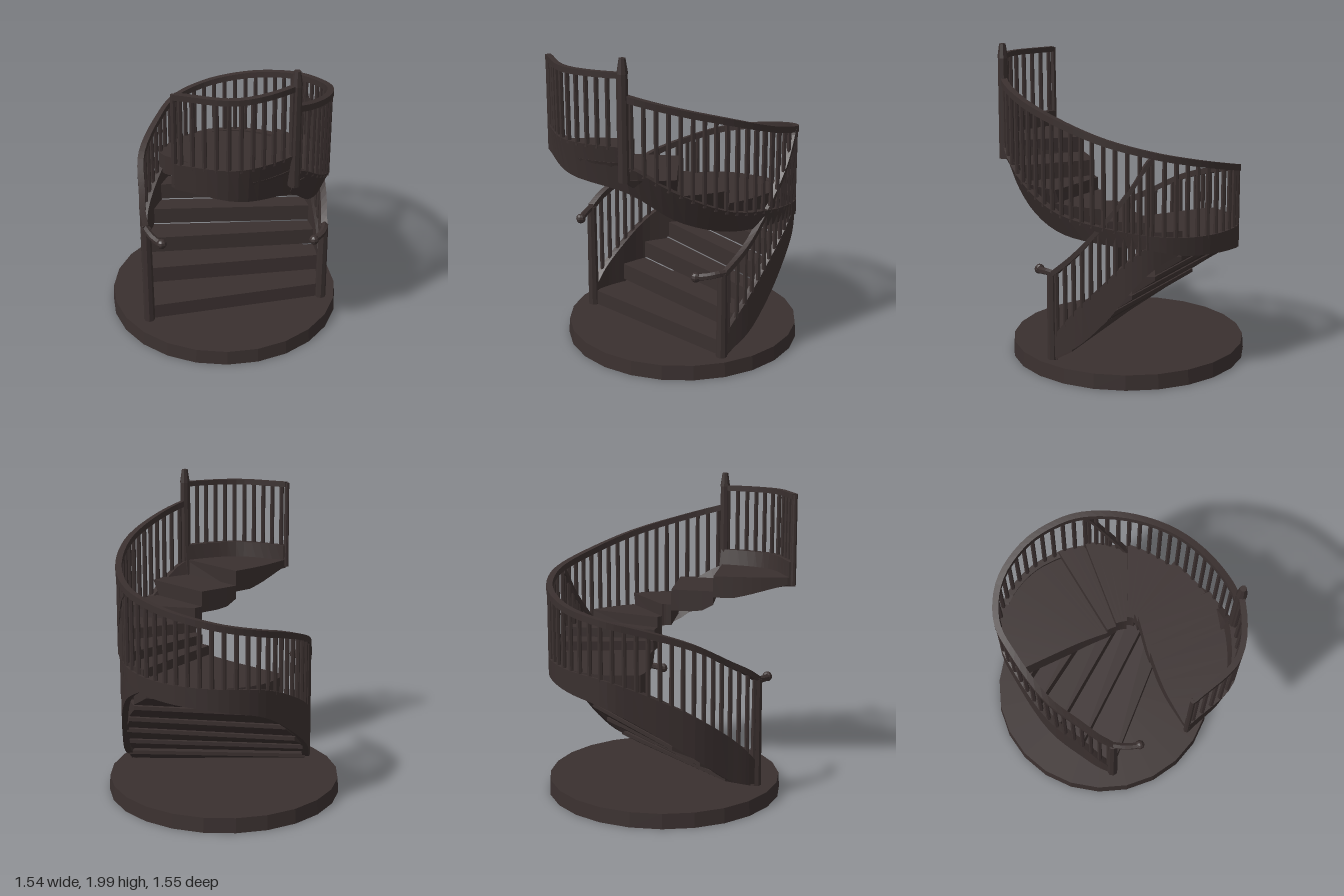
import * as THREE from 'three';

const wood = new THREE.MeshStandardMaterial({ color: 0x3a302f, flatShading: true });
wood.name = 'dark wood';

// Skin through four-cornered sections (left top, right top, right bottom, left bottom)
function ribbon(sections) {
  const pos = sections.flat(2), idx = [];
  for (let s = 0; s < sections.length - 1; s++) {
    for (let j = 0; j < 4; j++) {
      const a = s * 4 + j, b = s * 4 + (j + 1) % 4;
      idx.push(a, b, b + 4, a, b + 4, a + 4);
    }
  }
  const e = (sections.length - 1) * 4;
  idx.push(0, 3, 2, 0, 2, 1, e, e + 1, e + 2, e, e + 2, e + 3);
  const g = new THREE.BufferGeometry();
  g.setAttribute('position', new THREE.Float32BufferAttribute(pos, 3));
  g.setIndex(idx);
  g.computeVertexNormals();
  return g;
}

const spline = pts => new THREE.CatmullRomCurve3(pts.map(p => new THREE.Vector3(...p)));

// Side of the stair: each row is x, z, stringer bottom, stringer top, handrail height
// and how far the stringer bottom leans inward
function makeSide(rows) {
  return {
    bottom: spline(rows.map(([x, z, y, , , lean = 0]) => {
      const k = 1 - lean / Math.hypot(x, z);
      return [x * k, y, z * k];
    })),
    top: spline(rows.map(r => [r[0], r[3], r[1]])),
    rail: spline(rows.map(r => [r[0], r[4], r[1]])),
  };
}

// Band that follows the rim between a low and a high point, widened outward and inward
function band(t0, t1, count, out, inn, at) {
  const sections = [];
  const shift = (p, d) => {
    const k = 1 + d / Math.hypot(p.x, p.z);
    return [p.x * k, p.y, p.z * k];
  };
  for (let i = 0; i <= count; i++) {
    const [lo, hi] = at(t0 + (t1 - t0) * i / count);
    sections.push([shift(hi, out), shift(hi, -inn), shift(lo, -inn), shift(lo, out)]);
  }
  return ribbon(sections);
}

export function createModel() {
  const model = new THREE.Group();
  const add = (name, geo, x = 0, y = 0, z = 0, parent = model) => {
    const m = new THREE.Mesh(geo, wood);
    m.name = name;
    m.position.set(x, y, z);
    parent.add(m);
    return m;
  };

  // Round plinth
  add('base', new THREE.CylinderGeometry(0.75, 0.757, 0.095, 24), 0.012, 0.055, -0.025);

  // Long side winding from the left newel round the back to the upper platform
  const main = makeSide([
    [-0.62, -0.10, 0.11, 0.24, 0.80], [-0.57, -0.18, 0.13, 0.34, 0.86],
    [-0.48, -0.28, 0.18, 0.46, 0.93], [-0.31, -0.46, 0.36, 0.63, 1.06],
    [-0.01, -0.61, 0.59, 0.80, 1.17], [0.20, -0.67, 0.71, 0.88, 1.225],
    [0.45, -0.60, 0.77, 0.91, 1.28], [0.64, -0.40, 0.80, 0.92, 1.34],
    [0.715, -0.18, 0.82, 0.93, 1.39], [0.715, 0.00, 0.86, 0.95, 1.43],
    [0.61, 0.27, 0.88, 0.99, 1.50, 0.03], [0.39, 0.52, 0.905, 1.05, 1.60, 0.06],
    [0.10, 0.68, 1.00, 1.20, 1.69, 0.08], [-0.19, 0.735, 1.18, 1.37, 1.77, 0.06],
    [-0.56, 0.63, 1.26, 1.42, 1.86, 0.03], [-0.755, 0.32, 1.32, 1.46, 1.91],
  ]);
  // Short right side of the lower flight, listed from the top down
  const right = makeSide([
    [0.715, -0.18, 0.84, 0.93, 1.42], [0.715, 0.00, 0.74, 0.90, 1.41],
    [0.68, 0.12, 0.61, 0.81, 1.23], [0.60, 0.26, 0.40, 0.65, 1.02],
    [0.49, 0.42, 0.21, 0.45, 0.80], [0.365, 0.54, 0.11, 0.24, 0.65],
  ]);
  const tNewel = 13 / 15, platformTop = 1.48, platformRail = 1.9;

  const stringer = s => t => [s.bottom.getPoint(t), s.top.getPoint(t)];
  const rail = s => t => {
    const p = s.rail.getPoint(t);
    return [p.clone().setY(p.y - 0.022), p.clone().setY(p.y + 0.018)];
  };
  add('mainStringer', band(0, tNewel, 56, 0.015, 0.03, stringer(main)));
  add('rightStringer', band(0, 1, 20, 0.012, 0.03, stringer(right)));
  add('platformFascia', band(tNewel, 1, 12, 0.015, 0.03, t => [
    main.bottom.getPoint(t), main.top.getPoint(t).setY(platformTop)]));
  add('mainHandrail', band(0, tNewel, 64, 0.018, 0.022, rail(main)));
  add('rightHandrail', band(0.2, 1, 18, 0.018, 0.022, rail(right)));
  add('platformHandrail', band(tNewel, 1, 12, 0.015, 0.02, t => [
    main.rail.getPoint(t).setY(platformRail - 0.018),
    main.rail.getPoint(t).setY(platformRail + 0.016)]));

  // Balusters spaced evenly along a side
  const balusters = (name, s, t0, t1, count, foot, head) => {
    const group = new THREE.Group();
    group.name = name;
    const lengths = [t0, t1].map(t => {
      let d = 0;
      for (let i = 1; i <= 200; i++) {
        d += s.rail.getPoint(t * i / 200).distanceTo(s.rail.getPoint(t * (i - 1) / 200));
      }
      return d;
    });
    const total = s.rail.getLength();
    for (let i = 0; i < count; i++) {
      const d = lengths[0] + (lengths[1] - lengths[0]) * (i + 0.5) / count;
      const t = s.rail.getUtoTmapping(Math.min(d / total, 1));
      const p = s.rail.getPoint(t);
      const lo = foot ?? s.top.getPoint(t).y - 0.02, hi = head ?? p.y;
      add('baluster', new THREE.CylinderGeometry(0.014, 0.015, hi - lo, 6),
        p.x, (lo + hi) / 2, p.z, group);
    }
    model.add(group);
  };
  balusters('mainBalusters', main, 0, tNewel, 46);
  balusters('rightBalusters', right, 0.2, 1, 12);
  balusters('platformBalusters', main, tNewel, 1, 11, platformTop - 0.02, platformRail);

  // Lower treads: y, left end x z, right end x z; undersides slope up to the next tread
  const lower = [
    [0.20, -0.61, -0.10, 0.37, 0.55], [0.33, -0.46, -0.29, 0.46, 0.44],
    [0.45, -0.33, -0.42, 0.54, 0.33], [0.57, -0.18, -0.52, 0.60, 0.23],
    [0.69, -0.06, -0.58, 0.65, 0.11], [0.81, 0.06, -0.62, 0.69, -0.02],
    [0.90, 0.22, -0.65, 0.70, -0.18],
  ];
  for (let i = 0; i < lower.length - 1; i++) {
    const y = lower[i][0];
    const section = ([, lx, lz, rx, rz], b) =>
      [[lx, y, lz], [rx, y, rz], [rx, b, rz], [lx, b, lz]];
    add('lowerTread', ribbon([section(lower[i], y - 0.112), section(lower[i + 1], y - 0.025)]));
  }

  // Inner edge of landing, upper flight and platform, paired with main rows 4 to 15
  const inner = spline([
    [-0.02, 0, -0.55], [0.03, 0, -0.35], [0.07, 0, -0.18], [0.09, 0, -0.06],
    [0.10, 0, 0.02], [0.11, 0, 0.08], [0.11, 0, 0.15], [0.09, 0, 0.19],
    [0.03, 0, 0.20], [-0.25, 0, 0.21], [-0.50, 0, 0.24], [-0.72, 0, 0.30],
  ]);
  const upper = [
    ['landing', 4, 8, 0.91], ['upperTread', 8, 9, 0.97], ['upperTread', 9, 10, 1.03],
    ['upperTread', 10, 11, 1.10], ['upperTread', 11, 12, 1.18],
    ['upperTread', 12, 13, 1.28], ['platform', 13, 15, 1.38],
  ];
  for (const [name, from, to, y] of upper) {
    const count = (to - from) * 4, sections = [];
    for (let i = 0; i <= count; i++) {
      const k = from + (to - from) * i / count;
      const o = main.top.getPoint(k / 15), n = inner.getPoint((k - 4) / 11);
      const u = main.bottom.getPoint(k / 15);
      const b = Math.min(y - 0.04, Math.max(u.y + 0.01, y - 0.14));
      sections.push([[o.x, y, o.z], [n.x, y, n.z], [n.x, b, n.z], [u.x, b, u.z]]);
    }
    add(name, ribbon(sections));
  }

  // Newel posts
  const newel = (name, x, z, lo, hi, r = 0.036) =>
    add(name, new THREE.CylinderGeometry(r * 0.85, r, hi - lo, 8), x, (lo + hi) / 2, z);
  newel('leftNewel', -0.615, -0.10, 0.09, 0.8);
  newel('rightNewel', 0.355, 0.54, 0.09, 0.66);
  newel('upperNewel', -0.2, 0.735, 1.27, 1.92);
  newel('platformEndPost', -0.755, 0.315, 1.33, 1.91, 0.018);
  add('upperNewelCap', new THREE.CylinderGeometry(0.02, 0.034, 0.09, 8), -0.2, 1.955, 0.735);

  // Curled handrail ends over the two lower newels
  const scroll = (name, pts) => {
    const curve = spline(pts), end = pts[pts.length - 1];
    add(name, new THREE.TubeGeometry(curve, 8, 0.022, 6));
    add(name + 'Knob', new THREE.SphereGeometry(0.032, 8, 6), ...end);
  };
  scroll('leftScroll', [[-0.61, 0.80, -0.12], [-0.635, 0.785, -0.04], [-0.645, 0.775, 0.03], [-0.645, 0.775, 0.07]]);
  scroll('rightScroll', [[0.37, 0.655, 0.535], [0.33, 0.66, 0.57], [0.27, 0.65, 0.59], [0.2, 0.64, 0.59]]);

  return model;
}
